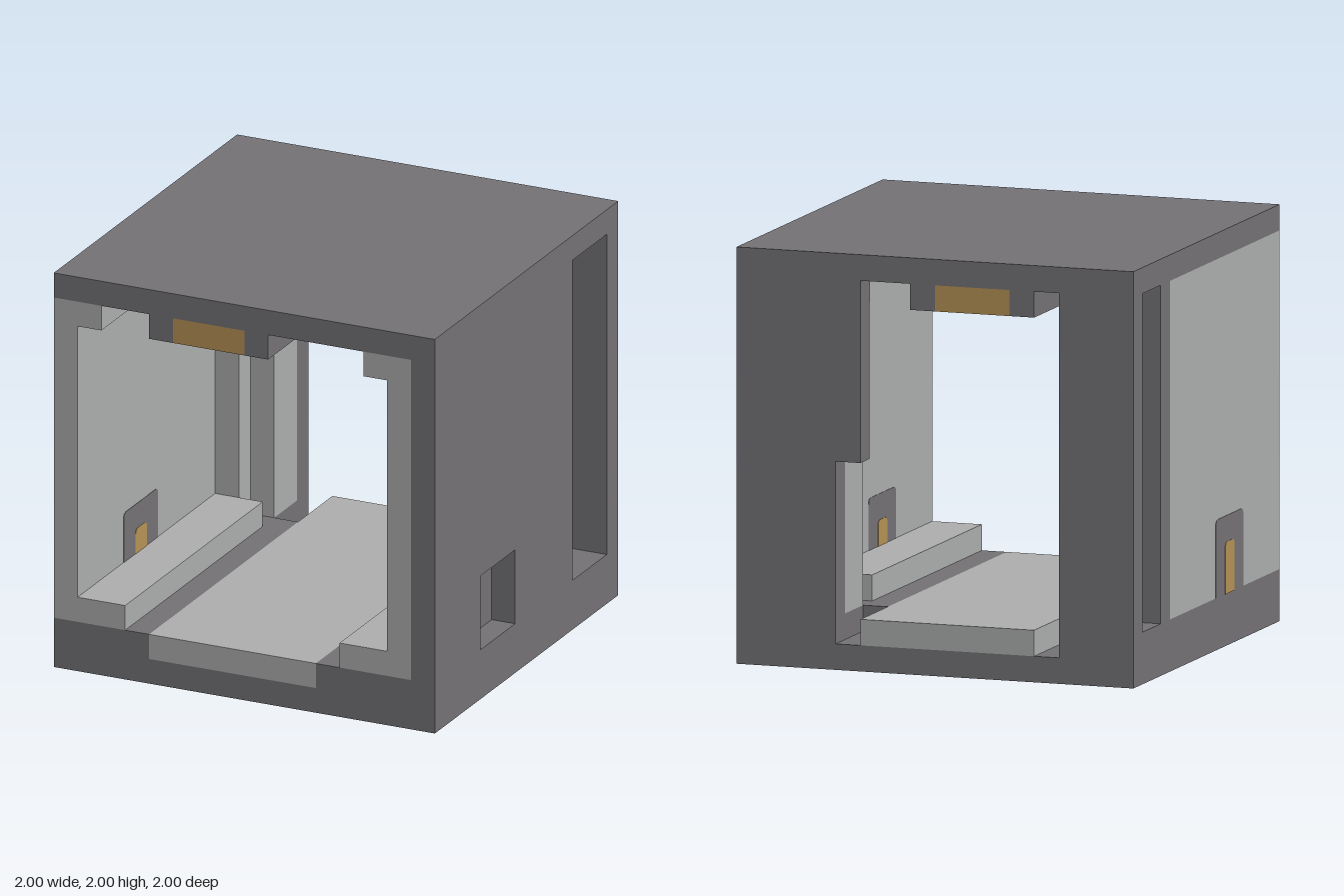
import * as THREE from 'three';

const dark = new THREE.MeshStandardMaterial({ color: 0x757376 });
dark.name = 'dark stone grey';
const pale = new THREE.MeshStandardMaterial({ color: 0xaeb0af });
pale.name = 'pale grey';
const amber = new THREE.MeshStandardMaterial({ color: 0xb89456 });
amber.name = 'amber light';

// box given by its limits along each axis, in any order
function block(parent, name, material, [x0, x1], [y0, y1], [z0, z1]) {
  const mesh = new THREE.Mesh(
    new THREE.BoxGeometry(Math.abs(x1 - x0), Math.abs(y1 - y0), Math.abs(z1 - z0)), material);
  mesh.position.set((x0 + x1) / 2, (y0 + y1) / 2, (z0 + z1) / 2);
  mesh.name = name;
  parent.add(mesh);
  return mesh;
}

// thin painted plate on a side wall, with rounded upper corners
function wallPlate(parent, name, material, x, thick, [y0, y1], [z0, z1]) {
  const r = 0.03;
  const s = new THREE.Shape();
  s.moveTo(-z0, y0);
  s.lineTo(-z0, y1 - r);
  s.quadraticCurveTo(-z0, y1, -z0 - r, y1);
  s.lineTo(-z1 + r, y1);
  s.quadraticCurveTo(-z1, y1, -z1, y1 - r);
  s.lineTo(-z1, y0);
  const geometry = new THREE.ExtrudeGeometry(s, { depth: thick * 2, bevelEnabled: false, curveSegments: 4 });
  geometry.translate(0, 0, -thick);
  geometry.rotateY(Math.PI / 2);
  const mesh = new THREE.Mesh(geometry, material);
  mesh.position.x = x;
  mesh.name = name;
  parent.add(mesh);
}

export function createModel() {
  const model = new THREE.Group();
  model.name = 'corridorModule';
  const wallY = [0.25, 1.875];

  // base, roof and floor
  block(model, 'base', dark, [-1, 1], [0, 0.125], [-1, 1]);
  block(model, 'roof', dark, [-1, 1], [1.875, 2], [-1, 1]);
  block(model, 'floorPanel', pale, [-0.5, 0.375], [0.125, 0.25], [-1, 1]);
  block(model, 'floorStripRight', dark, [0.375, 0.5], [0.125, 0.25], [-0.625, 1]);
  block(model, 'floorStripLeft', dark, [-0.625, -0.5], [0.125, 0.25], [-0.625, 1]);

  // ceiling lamp and its housing
  block(model, 'lampHousing', dark, [-0.5, -0.375], [1.75, 1.875], [-1, 1]);
  block(model, 'lampHousing', dark, [0, 0.125], [1.75, 1.875], [-1, 1]);
  block(model, 'ceilingLamp', amber, [-0.375, 0], [1.75, 1.875], [-1, 1]);

  // side walls: the second is the mirror of the first, moved outwards
  for (const side of [1, -1]) {
    const wall = new THREE.Group();
    wall.name = side > 0 ? 'wallPositiveX' : 'wallNegativeX';
    model.add(wall);
    const fx = (x) => (side > 0 ? x : -x - 0.125);
    const span = (a, b) => [fx(a), fx(b)];

    block(wall, 'sill', dark, [side, fx(0.5)], [0.125, 0.25], [-1, 1]);
    block(wall, 'backFrame', dark, [side, fx(0.5)], wallY, [-1, -0.875]);
    block(wall, 'wallPanel', pale, span(0.75, 0.875), wallY, [-0.5, 1]);
    block(wall, 'lowerLedge', pale, span(0.5, 0.75), [0.25, 0.375], [-0.5, 1]);
    block(wall, 'upperLedge', pale, span(0.625, 0.75), [1.75, 1.875], [-0.5, 1]);

    // stepped pillar, pale inside and dark in the outer slot
    block(wall, 'pillarStep', pale, span(0.625, 0.75), wallY, [-0.625, -0.5]);
    block(wall, 'pillarStepBack', dark, span(0.75, 0.875), wallY, [-0.625, -0.5]);
    block(wall, 'pillar', pale, span(0.5, 0.625), wallY, [-0.875, -0.625]);
    block(wall, 'pillarBack', dark, span(0.625, 0.75), wallY, [-0.875, -0.625]);
    block(wall, 'pillarFace', pale, span(0.625, 0.75), wallY, [-0.625, -0.621]);

    // small wall light on both faces of the panel
    for (const [x, y0] of [[0.75, 0.375], [0.875, 0.25]]) {
      wallPlate(wall, 'wallLightSurround', dark, fx(x), 0.002, [y0, 0.625], [0.125, 0.5]);
      wallPlate(wall, 'wallLight', amber, fx(x), 0.004, [y0, 0.5], [0.25, 0.375]);
    }
  }

  // outer cladding with a window for the wall light and a tall slot
  block(model, 'outerCladding', dark, [0.875, 1], wallY, [-0.5, 0.125]);
  block(model, 'outerCladding', dark, [0.875, 1], [0.625, 1.875], [0.125, 0.5]);
  block(model, 'outerCladding', dark, [0.875, 1], wallY, [0.5, 1]);

  // hanging slab in the back doorway with its pale header
  block(model, 'doorwaySlab', dark, [0.375, 0.5], [1, 1.875], [-1, -0.875]);
  block(model, 'doorwayHeader', pale, [0.375, 0.5], [1.75, 1.875], [-0.875, -0.867]);

  return model;
}
